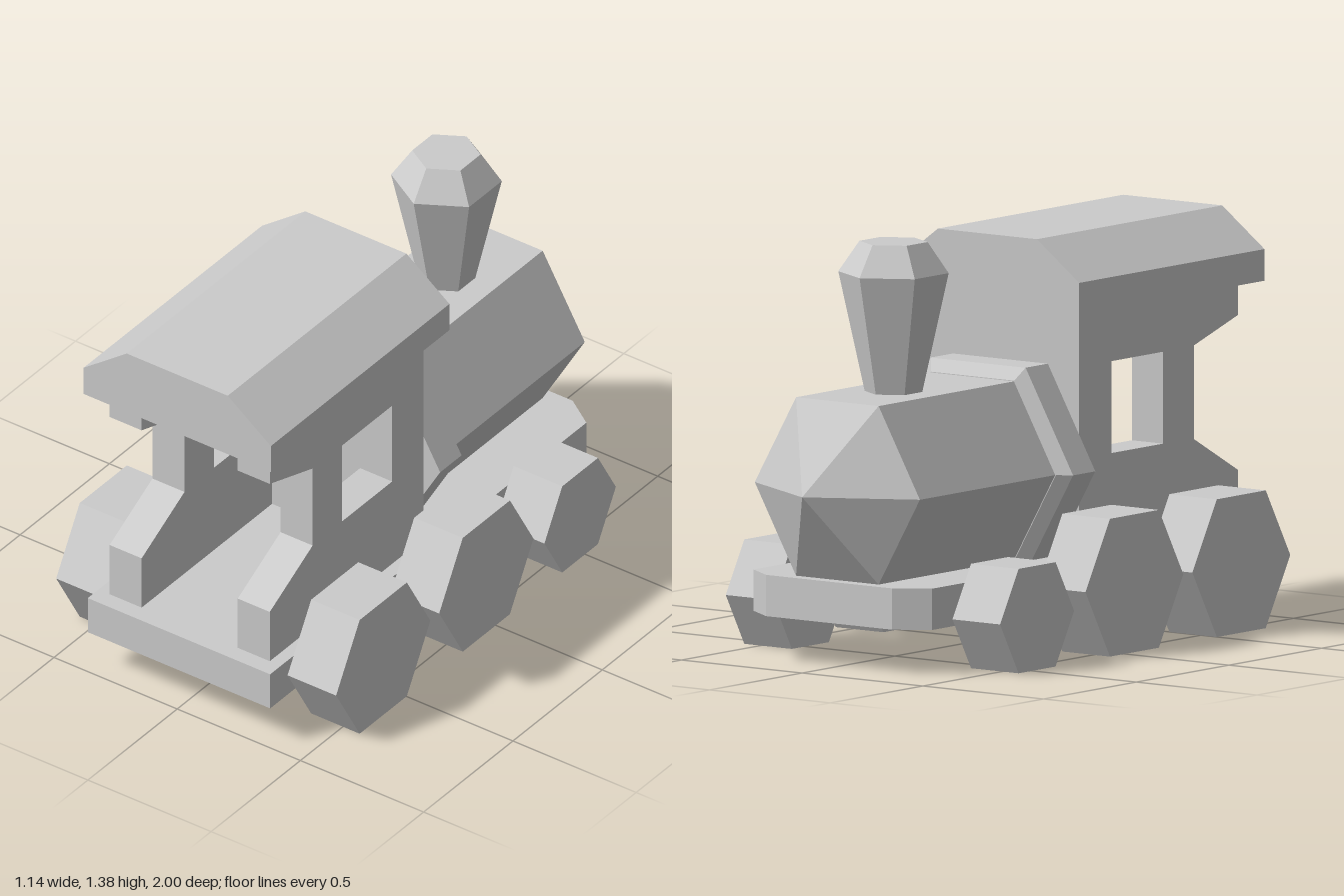
import * as THREE from 'three';

const material = new THREE.MeshStandardMaterial({
  color: 0xcccccc, flatShading: true, side: THREE.DoubleSide,
});

function createModel() {
  const model = new THREE.Group();
  const add = (name, geometry, x = 0, y = 0, z = 0) => {
    const mesh = new THREE.Mesh(geometry, material);
    mesh.name = name;
    mesh.position.set(x, y, z);
    model.add(mesh);
  };
  const shapeOf = (pts) => new THREE.Shape(pts.map(([a, b]) => new THREE.Vector2(a, b)));
  const extrude = (shape, depth) =>
    new THREE.ExtrudeGeometry(shape, { depth, bevelEnabled: false });
  // Six-sided turned part, bottom to top
  const hexLathe = (pts, phi = 0) =>
    new THREE.LatheGeometry(pts.map(([r, h]) => new THREE.Vector2(r, h)), 6, phi);

  // Floor plate with chamfered corners at the boiler end
  const plate = shapeOf([
    [-0.37, 0.99], [-0.37, -0.78], [-0.26, -0.855],
    [0.26, -0.855], [0.37, -0.78], [0.37, 0.99],
  ]);
  add('chassis', extrude(plate, 0.137).rotateX(Math.PI / 2), 0, 0.287, 0);

  // Cab side walls, outlined in z and y, each with a window
  const wall = shapeOf([
    [0.07, 0.285], [0.93, 0.285], [0.93, 0.485], [0.69, 0.615],
    [0.69, 0.925], [0.93, 1.0], [0.93, 1.112], [0.07, 1.112],
  ]);
  wall.holes.push(shapeOf([[0.245, 0.618], [0.245, 0.923], [0.525, 0.923], [0.525, 0.618]]));
  const wallGeometry = extrude(wall, 0.13).rotateY(-Math.PI / 2);
  add('cabWallLeft', wallGeometry, 0.325);
  add('cabWallRight', wallGeometry, -0.195);

  // Bulkhead between cab and boiler
  add('cabBulkhead', new THREE.BoxGeometry(0.39, 0.827, 0.13), 0, 0.6985, 0.135);

  // Roof with sloping shoulders
  const roof = shapeOf([
    [-0.38, 1.11], [0.38, 1.11], [0.38, 1.215],
    [0.205, 1.345], [-0.205, 1.345], [-0.38, 1.215],
  ]);
  add('roof', extrude(roof, 1));

  // Boiler with pointed nose, and the collar where it meets the cab
  const boiler = hexLathe([[0, -0.07], [0.342, -0.07], [0.342, 0.81], [0, 1]], Math.PI / 2);
  add('boiler', boiler.rotateX(-Math.PI / 2), 0, 0.583, 0);
  const collar = hexLathe(
    [[0, -0.07], [0.393, -0.07], [0.393, 0.05], [0.345, 0.08], [0, 0.08]], Math.PI / 2);
  add('boilerCollar', collar.rotateX(-Math.PI / 2), 0, 0.583, 0);

  // Flared chimney
  add('chimney', hexLathe([[0, 0.8], [0.078, 0.8], [0.183, 1.275], [0.113, 1.377], [0, 1.377]]),
    0, 0, -0.507);

  // Six hexagonal wheels: z position and radius per pair
  for (const [z, r] of [[0.63, 0.264], [0.053, 0.264], [-0.472, 0.2]]) {
    const wheel = new THREE.CylinderGeometry(r, r, 0.197, 6).rotateZ(Math.PI / 2);
    for (const side of [1, -1]) {
      add(side > 0 ? 'wheelLeft' : 'wheelRight', wheel, side * 0.4695, r * Math.sqrt(0.75), z);
    }
  }

  return model;
}

export { createModel };
